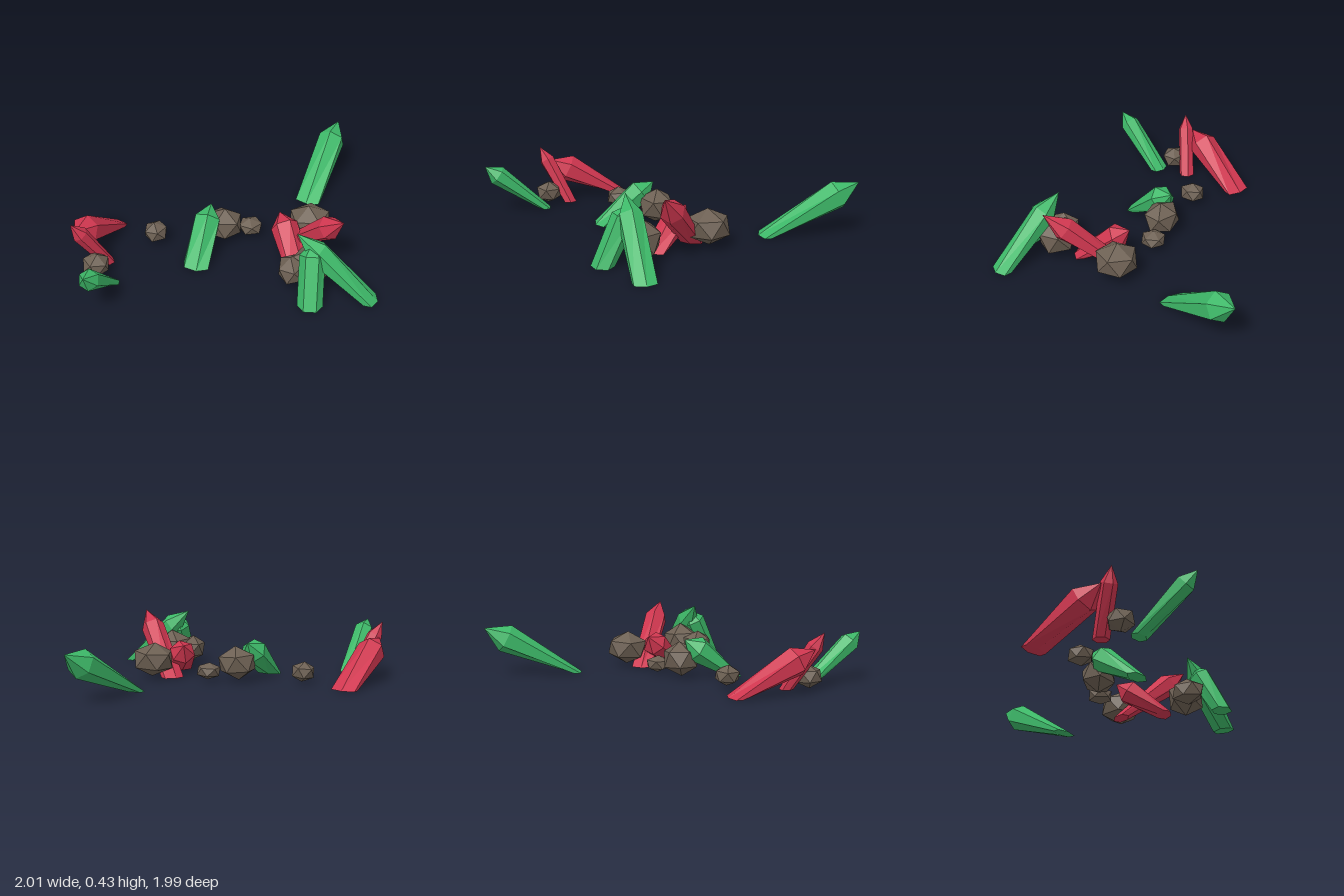
import * as THREE from 'three';

const material = (name, color) => {
  const m = new THREE.MeshStandardMaterial({ color, flatShading: true });
  m.name = name;
  return m;
};

// Leaning six-sided crystal: foot flattened onto the ground, straight shaft, pointed cap
function crystalGeometry([bx, bz], tip, r, shoulderAt, spin) {
  const base = new THREE.Vector3(bx, 0, bz);
  const apex = new THREE.Vector3(...tip);
  const axis = apex.clone().sub(base).normalize();
  const side = axis.clone().cross(new THREE.Vector3(0, 1, 0)).normalize();
  const up = side.clone().cross(axis);
  const shoulder = base.clone().lerp(apex, shoulderAt);
  const foot = [], neck = [];
  for (let k = 0; k < 6; k++) {
    const a = (k / 6) * Math.PI * 2 + spin;
    const offset = up.clone().multiplyScalar(Math.cos(a) * r).addScaledVector(side, Math.sin(a) * r);
    foot.push(base.clone().add(offset).setY(0));
    neck.push(shoulder.clone().add(offset));
  }
  const points = [];
  for (let k = 0; k < 6; k++) {
    const n = (k + 1) % 6;
    points.push(foot[k], foot[n], neck[n], foot[k], neck[n], neck[k]);
    points.push(neck[k], neck[n], apex);
    points.push(base, foot[n], foot[k]);
  }
  const g = new THREE.BufferGeometry().setFromPoints(points);
  g.computeVertexNormals();
  return g;
}

// Squashed faceted boulder, given by its middle and half sizes
function rockGeometry([x, y, z], [rx, ry, rz], turn) {
  const g = new THREE.IcosahedronGeometry(1, 0);
  g.rotateX(-Math.atan((1 + Math.sqrt(5)) / 2));
  g.rotateY(turn);
  g.rotateZ(0.12 * Math.sin(turn * 5));
  g.scale(rx, ry, rz);
  g.translate(x, y, z);
  const p = g.attributes.position;
  for (let i = 0; i < p.count; i++) p.setY(i, Math.max(0, p.getY(i)));
  g.computeVertexNormals();
  return g;
}

export function createModel() {
  const model = new THREE.Group();
  model.name = 'crystalField';
  const green = material('green crystal', 0x3db868);
  const red = material('red crystal', 0xcf364f);
  const stone = material('brown stone', 0x6d6053);
  const add = (name, geometry, mat) => {
    const mesh = new THREE.Mesh(geometry, mat);
    mesh.name = name;
    model.add(mesh);
  };

  // Foot [x, z], tip, radius, shoulder position along the axis, spin
  const greens = [
    [[0.605, -0.41], [0.84, 0.335, -1.0], 0.1, 0.77, 0],
    [[-0.17, 0.4], [-0.08, 0.27, 0.05], 0.095, 0.75, 0.2],
    [[-0.72, 0.585], [-0.815, 0.335, 0.99], 0.07, 0.8, 0.15],
    [[0.96, 0.715], [0.485, 0.41, 0.58], 0.083, 0.73, 0],
    [[0.575, 0.79], [0.585, 0.37, 0.6], 0.082, 0.78, Math.PI / 6],
  ];
  const reds = [
    [[-0.77, -0.08], [-0.955, 0.28, 0.43], 0.1, 0.76, 0],
    [[-0.765, 0.36], [-0.965, 0.385, 0.5], 0.055, 0.76, 0.2],
    [[0.51, 0.39], [0.385, 0.23, 0.075], 0.092, 0.75, 0.2],
    [[0.47, 0.08], [0.785, 0.425, 0.475], 0.083, 0.74, 0.1],
  ];
  greens.forEach((c, i) => add(`greenCrystal${i + 1}`, crystalGeometry(...c), green));
  reds.forEach((c, i) => add(`redCrystal${i + 1}`, crystalGeometry(...c), red));

  // Middle, half sizes, turn
  const rocks = [
    [[-0.46, 0.075, 0.115], [0.088, 0.072, 0.095], 0.3],
    [[0, 0.125, 0.075], [0.145, 0.12, 0.125], 0.8],
    [[0.19, 0.07, 0.02], [0.09, 0.06, 0.09], 1.4],
    [[0.595, 0.133, 0.035], [0.155, 0.12, 0.153], 0.5],
    [[0.59, 0.135, 0.53], [0.148, 0.135, 0.135], 1.1],
    [[0.46, 0.13, 0.58], [0.1, 0.095, 0.125], 0.2],
    [[-0.82, 0.08, 0.505], [0.097, 0.08, 0.097], 0.9],
  ];
  rocks.forEach((r, i) => add(`rock${i + 1}`, rockGeometry(...r), stone));

  return model;
}
